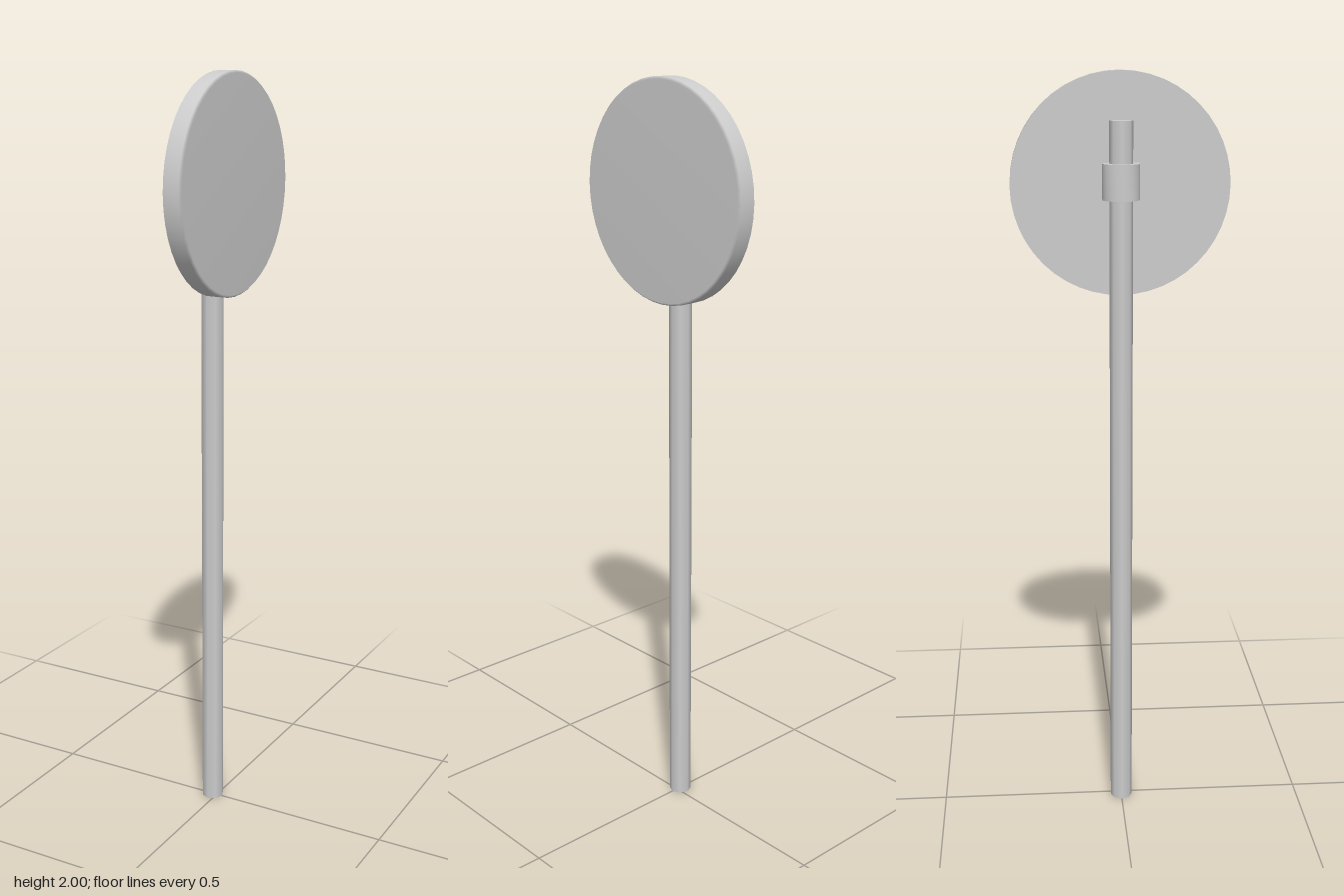
import * as THREE from 'three';
import { toCreasedNormals } from 'three/addons/utils/BufferGeometryUtils.js';

const POLE_X = -0.013, POLE_R = 0.03, POLE_H = 1.88;
const DISC_Y = 1.72, DISC_R = 0.28, DISC_BACK = 0.009, DISC_FRONT = 0.058;

export function createModel() {
  const group = new THREE.Group();
  const material = new THREE.MeshStandardMaterial({ color: 0xcccccc });
  const add = (name, geometry, x, y) => {
    const mesh = new THREE.Mesh(geometry, material);
    mesh.name = name;
    mesh.position.set(x, y, 0);
    group.add(mesh);
  };

  // Eight-sided pole with a corner pointing along x
  add('pole', new THREE.CylinderGeometry(POLE_R, POLE_R, POLE_H, 8), POLE_X, POLE_H / 2);

  // Round sign plate facing +x, softly chamfered at its front edge
  const lathe = (points) =>
    new THREE.LatheGeometry(points.map(([r, h]) => new THREE.Vector2(r, h)), 48).rotateZ(-Math.PI / 2);
  add('signFace', lathe([
    [DISC_R, DISC_BACK], [DISC_R, DISC_FRONT - 0.006], [DISC_R - 0.006, DISC_FRONT], [0, DISC_FRONT],
  ]), 0, DISC_Y);
  add('signBack', lathe([[0, DISC_BACK], [DISC_R, DISC_BACK]]), 0, DISC_Y);

  // U-shaped clamp wrapping the pole and meeting the plate
  const outer = 0.047, inner = 0.03, end = DISC_BACK - POLE_X + 0.002;
  const shape = new THREE.Shape();
  shape.moveTo(end, outer);
  shape.lineTo(0, outer);
  shape.absarc(0, 0, outer, Math.PI / 2, Math.PI * 1.5, false);
  shape.lineTo(end, -outer);
  shape.lineTo(end, -inner);
  shape.lineTo(0, -inner);
  shape.absarc(0, 0, inner, Math.PI * 1.5, Math.PI / 2, true);
  shape.lineTo(end, inner);
  const clamp = new THREE.ExtrudeGeometry(shape, { depth: 0.09, bevelEnabled: false, curveSegments: 6 });
  clamp.rotateX(-Math.PI / 2);
  add('clamp', toCreasedNormals(clamp, Math.PI / 4), POLE_X, 1.685);

  return group;
}
